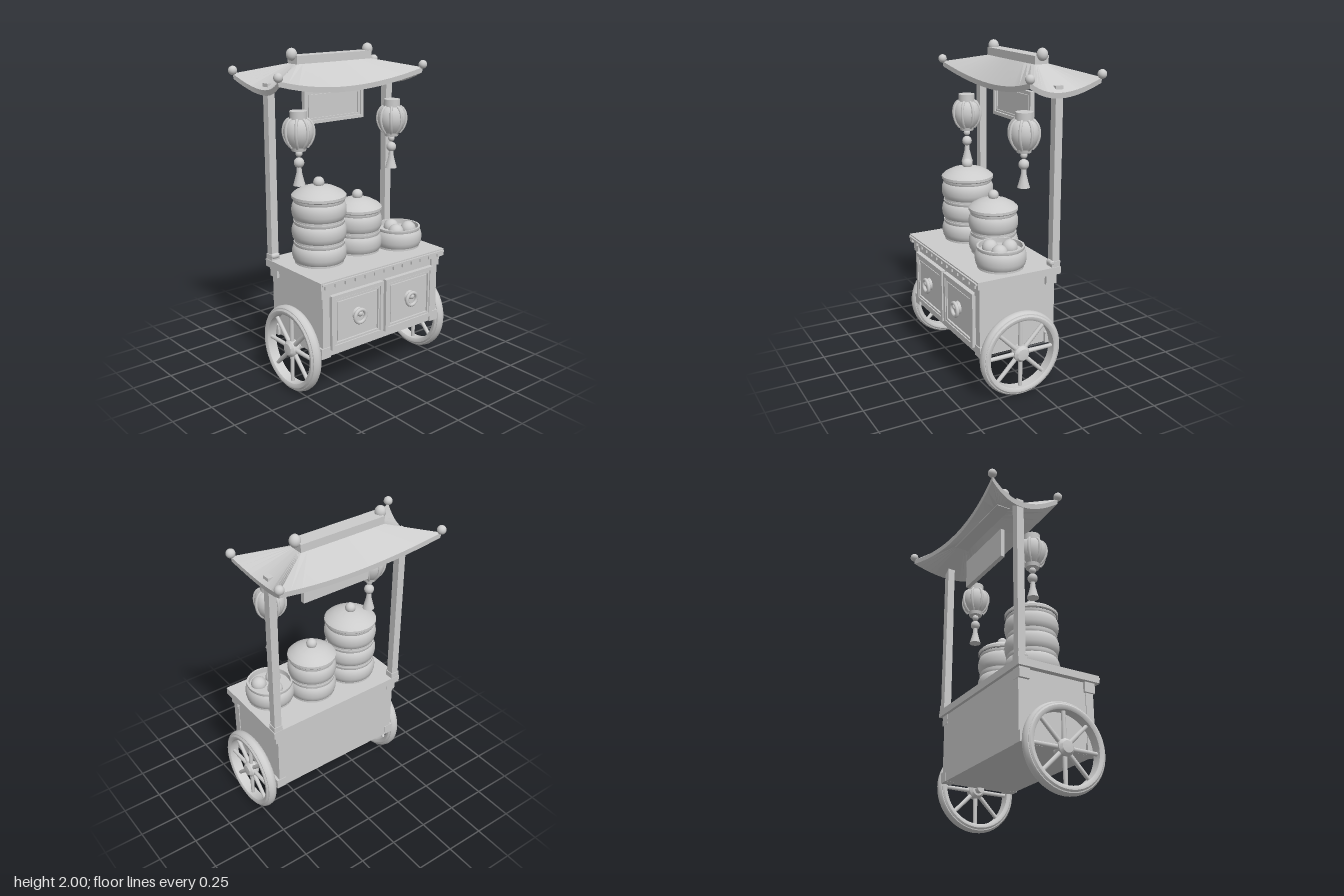
import * as THREE from 'three';
import { toCreasedNormals } from 'three/addons/utils/BufferGeometryUtils.js';

const grey = new THREE.MeshStandardMaterial({ color: 0xcccccc });
grey.name = 'plain grey';

function add(parent, name, geo, x = 0, y = 0, z = 0) {
  const m = new THREE.Mesh(geo, grey);
  m.name = name;
  m.position.set(x, y, z);
  parent.add(m);
  return m;
}
function group(parent, name, x = 0, y = 0, z = 0) {
  const g = new THREE.Group();
  g.name = name;
  g.position.set(x, y, z);
  parent.add(g);
  return g;
}
// Box given by its minimum and maximum corners
function block(parent, name, x0, x1, y0, y1, z0, z1) {
  return add(parent, name, new THREE.BoxGeometry(x1 - x0, y1 - y0, z1 - z0),
    (x0 + x1) / 2, (y0 + y1) / 2, (z0 + z1) / 2);
}
function lathe(points, sides = 32, crease = 0.6) {
  return toCreasedNormals(new THREE.LatheGeometry(points.map(p => new THREE.Vector2(p[0], p[1])), sides), crease);
}
// Rectangular picture-frame moulding, back face at z = 0
function frame(w, h, border, depth) {
  const s = new THREE.Shape();
  s.moveTo(-w / 2, -h / 2).lineTo(w / 2, -h / 2).lineTo(w / 2, h / 2).lineTo(-w / 2, h / 2).closePath();
  const a = w / 2 - border, b = h / 2 - border, hole = new THREE.Path();
  hole.moveTo(-a, -b).lineTo(-a, b).lineTo(a, b).lineTo(a, -b).closePath();
  s.holes.push(hole);
  return new THREE.ExtrudeGeometry(s, { depth, bevelEnabled: false });
}

// Cabinet with corner blocks, doors and counter
function buildCabinet(root) {
  const g = group(root, 'cabinet');
  block(g, 'cabinetBody', -0.45, 0.45, 0.27, 0.705, -0.15, 0.345);
  for (const s of [-1, 1]) {
    block(g, 'frontStile', s * 0.43 - 0.025, s * 0.43 + 0.025, 0.27, 0.705, 0.3, 0.352);
    for (const z of [0.323, -0.118]) {
      for (const y of [0.302, 0.675]) add(g, 'cornerBlock', new THREE.BoxGeometry(0.065, 0.065, 0.07), s * 0.435, y, z);
    }
    const d = group(g, 'door', s * 0.207, 0.482, 0.345);
    add(d, 'doorPlate', new THREE.BoxGeometry(0.394, 0.334, 0.012), 0, 0, 0.006);
    add(d, 'doorFrame', frame(0.394, 0.334, 0.024, 0.028));
    add(d, 'doorMoulding', frame(0.34, 0.28, 0.012, 0.024));
    add(d, 'doorPanel', new THREE.BoxGeometry(0.3, 0.24, 0.02), 0, 0, 0.01);
    const boss = add(d, 'handleBoss', new THREE.CylinderGeometry(0.032, 0.04, 0.02, 24), 0, 0.012, 0.03);
    boss.rotation.x = Math.PI / 2;
    add(d, 'handleKnob', new THREE.SphereGeometry(0.02, 16, 10), 0, 0.02, 0.04);
    add(d, 'handleRing', new THREE.TorusGeometry(0.04, 0.011, 10, 28), 0, 0.003, 0.046);
  }
  block(g, 'counter', -0.487, 0.487, 0.705, 0.75, -0.17, 0.378);
  // Fretted trim along the counter's front edge
  block(g, 'trimStrip', -0.48, 0.48, 0.731, 0.742, 0.375, 0.389);
  for (let i = 0; i < 13; i++) {
    const x = -0.444 + i * 0.074;
    block(g, 'trimTooth', x - 0.02, x + 0.02, 0.709, 0.731, 0.375, 0.389);
  }
}

// Spoked wheel, axle along x
function buildWheel(root, side) {
  const g = group(root, side > 0 ? 'leftWheel' : 'rightWheel', side * 0.5, 0.264, 0.108);
  const ring = (name, pts) => {
    add(g, name, lathe([...pts, pts[0]], 48)).rotation.z = Math.PI / 2;
  };
  ring('tyre', [[0.236, -0.03], [0.252, -0.027], [0.261, -0.016], [0.264, 0], [0.261, 0.016], [0.252, 0.027], [0.236, 0.03]]);
  ring('rim', [[0.213, -0.03], [0.224, -0.037], [0.237, -0.037], [0.246, -0.03], [0.246, 0.03], [0.237, 0.037], [0.224, 0.037], [0.213, 0.03]]);
  for (let i = 0; i < 8; i++) {
    const geo = new THREE.CylinderGeometry(0.012, 0.014, 0.2, 10);
    geo.translate(0, 0.125, 0);
    add(g, 'spoke', geo).rotation.x = i * Math.PI / 4;
  }
  const hub = lathe([[0, -0.04], [0.035, -0.036], [0.05, -0.02], [0.05, 0.02], [0.035, 0.036], [0, 0.04]], 24);
  add(g, 'hub', hub).rotation.z = Math.PI / 2;
  const axle = new THREE.CylinderGeometry(0.022, 0.022, 0.07, 16);
  add(g, 'axle', axle, -side * 0.04).rotation.z = Math.PI / 2;
}

// Roof swept from ridge to upturned eaves, closed underneath
function buildRoof(root) {
  const g = group(root, 'roof', 0, 0, -0.141);
  const n = 14, rings = [[], [], [], []];
  for (let k = 0; k < 4; k++) {
    for (let i = 0; i < n; i++) {
      const s = -1 + 2 * i / n, q = s * s, f = k < 2 ? 1 : -1, y = 1.775 + 0.075 * q;
      const across = k % 2;
      const e = across ? [f * (0.5 + 0.047 * q), -f * 0.232 * s] : [f * 0.547 * s, f * (0.186 + 0.046 * q)];
      const r = across ? [f * 0.28, -f * 0.045 * s] : [f * 0.28 * s, f * 0.045];
      rings[0].push([r[0], 1.908, r[1]]);
      rings[1].push([e[0], y, e[1]]);
      rings[2].push([e[0] * 0.99, y - 0.032, e[1] * 0.99]);
      rings[3].push([r[0], 1.876, r[1]]);
    }
  }
  const pos = rings.flat(2), index = [], m = 4 * n;
  for (let r = 0; r < 3; r++) {
    for (let j = 0; j < m; j++) {
      const k = (j + 1) % m, a = r * m + j, b = a + m, c = (r + 1) * m + k, d = r * m + k;
      index.push(a, b, c, a, c, d);
    }
  }
  const geo = new THREE.BufferGeometry();
  geo.setAttribute('position', new THREE.Float32BufferAttribute(pos, 3));
  geo.setIndex(index);
  add(g, 'roofShell', toCreasedNormals(geo, 0.3));
  block(g, 'ridgeBeam', -0.283, 0.283, 1.87, 1.955, -0.046, 0.046);
  for (const x of [-1, 1]) {
    add(g, 'ridgeFinial', new THREE.SphereGeometry(0.033, 20, 14), x * 0.288, 1.962, 0).scale.y = 1.13;
    for (const z of [-1, 1]) add(g, 'eaveFinial', new THREE.SphereGeometry(0.027, 18, 12), x * 0.545, 1.868, z * 0.232);
  }
}

// Hanging lantern with ribs and tassel
function buildLantern(root, x) {
  const g = group(root, 'lantern', x, 0, 0.015);
  add(g, 'lanternCap', new THREE.CylinderGeometry(0.051, 0.051, 0.055, 24), 0, 1.634, 0);
  const profile = [[0.05, 1.452], [0.072, 1.48], [0.086, 1.515], [0.089, 1.545], [0.083, 1.58], [0.068, 1.605], [0.05, 1.617]];
  add(g, 'lanternBody', lathe(profile, 32, 1));
  const curve = new THREE.CatmullRomCurve3(profile.map(p => new THREE.Vector3(p[0], p[1], 0)));
  for (let i = 0; i < 8; i++) {
    add(g, 'lanternRib', new THREE.TubeGeometry(curve, 16, 0.009, 8)).rotation.y = i * Math.PI / 4;
  }
  add(g, 'lanternBase', new THREE.CylinderGeometry(0.05, 0.042, 0.035, 24), 0, 1.448, 0);
  add(g, 'upperBead', new THREE.SphereGeometry(0.021, 16, 10), 0, 1.414, 0);
  add(g, 'lowerBead', new THREE.SphereGeometry(0.031, 16, 12), 0, 1.36, 0);
  add(g, 'tassel', lathe([[0, 1.225], [0.037, 1.225], [0.028, 1.255], [0.017, 1.3], [0.014, 1.335], [0, 1.335]], 20));
}

// Steamer basket tiers, optionally under a domed lid
function buildSteamer(root, x, z, r, tiers, lidded) {
  const g = group(root, 'steamer', x, 0.75, z), h = 0.131;
  const wall = [[0.91, 0], [0.91, 0.012], [0.97, 0.025], [1, 0.045], [1.01, 0.065], [1, 0.085], [0.96, 0.103], [0.92, 0.112], [0.94, 0.118], [0.94, h]];
  for (let i = 0; i < tiers; i++) {
    const pts = wall.map(p => [p[0] * r, p[1]]);
    if (lidded) pts.push([0, h]);
    else pts.push([r * 0.86, h], [r * 0.85, 0.1], [0, 0.1]);
    add(g, 'steamerTier', lathe(pts), 0, i * h, 0);
  }
  if (lidded) {
    const lid = [[0.96, 0], [1, 0.006], [1, 0.022], [0.88, 0.04], [0.6, 0.063], [0.3, 0.077], [0, 0.08]];
    add(g, 'steamerLid', lathe(lid.map(p => [p[0] * r, p[1]])), 0, tiers * h, 0);
    add(g, 'lidKnob', new THREE.SphereGeometry(0.033, 18, 12), 0, tiers * h + 0.095, 0);
  } else {
    for (const [bx, bz] of [[-0.052, 0.042], [0.056, 0.038], [0, -0.06]]) {
      add(g, 'bun', new THREE.SphereGeometry(0.048, 20, 14), bx, 0.107, bz);
    }
  }
}

export function createModel() {
  const root = new THREE.Group();
  root.name = 'foodCart';
  buildCabinet(root);
  buildRoof(root);
  for (const s of [-1, 1]) {
    buildWheel(root, s);
    // Roof post with a rounded foot
    block(root, 'roofPost', s * 0.453 - 0.024, s * 0.453 + 0.024, 0.75, 1.81, -0.164, -0.116);
    add(root, 'postFoot', new THREE.CapsuleGeometry(0.018, 0.026, 6, 12), s * 0.453, 0.775, -0.119).rotation.z = Math.PI / 2;
    block(root, 'postCollar', s * 0.453 - 0.029, s * 0.453 + 0.029, 0.75, 0.785, -0.168, -0.111);
    buildLantern(root, s * 0.36);
  }
  // Hanging signboard
  block(root, 'signBoard', -0.228, 0.228, 1.547, 1.745, -0.13, -0.114);
  add(root, 'signFrame', frame(0.456, 0.198, 0.02, 0.012), 0, 1.646, -0.114);
  add(root, 'signMoulding', frame(0.39, 0.15, 0.01, 0.008), 0, 1.646, -0.114);
  buildSteamer(root, -0.257, 0.066, 0.163, 3, true);
  buildSteamer(root, 0.055, 0.047, 0.151, 2, true);
  buildSteamer(root, 0.312, 0.138, 0.151, 1, false);
  return root;
}
